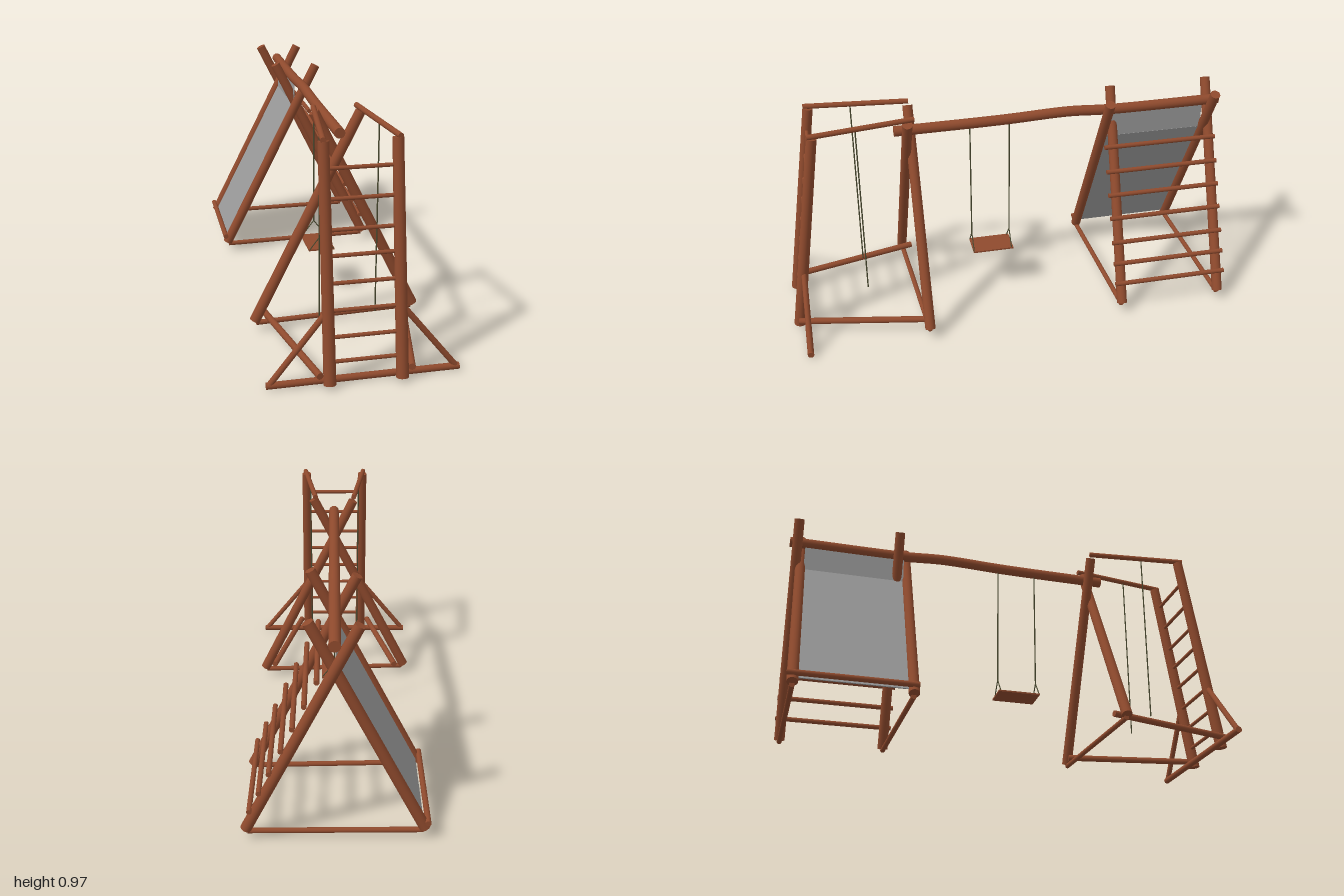
import * as THREE from 'three';

export function createModel() {
  const root = new THREE.Group();
  const mat = (name, color) => {
    const m = new THREE.MeshStandardMaterial({ color });
    m.name = name;
    return m;
  };
  const wood = mat('brown wood', 0x8f4a2d);
  const steel = mat('grey slide', 0x999999);
  steel.side = THREE.DoubleSide;
  const cord = mat('dark rope', 0x4a4a30);

  const add = (parent, name, geo, m) => {
    const mesh = new THREE.Mesh(geo, m);
    mesh.name = name;
    parent.add(mesh);
    return mesh;
  };
  const group = (name) => {
    const g = new THREE.Group();
    g.name = name;
    root.add(g);
    return g;
  };
  // round pole from point a to point b
  const pole = (parent, name, a, b, r, m = wood, rEnd = r, sides = 16) => {
    const A = new THREE.Vector3(...a), B = new THREE.Vector3(...b);
    const dir = B.clone().sub(A);
    const mesh = add(parent, name, new THREE.CylinderGeometry(rEnd, r, dir.length(), sides), m);
    mesh.position.copy(A).add(B).multiplyScalar(0.5);
    mesh.quaternion.setFromUnitVectors(new THREE.Vector3(0, 1, 0), dir.normalize());
    return mesh;
  };

  // crossed leg frames: z of left-foot leg, then bottom and top z of right-foot leg
  const frames = [
    ['frontFrame', 0.44, 0.43, 0.405, 0.405],
    ['middleFrame', -0.465, -0.46, -0.485, -0.515],
    ['backFrame', -0.945, -0.945, -0.95, -0.97],
  ];
  for (const [name, a0, a1, b0, b1] of frames) {
    const g = group(name);
    pole(g, 'crossedLeg', [-0.352, 0.045, a0], [0.1, 0.936, a1], 0.023, wood, 0.022);
    pole(g, 'crossedLeg', [0.352, 0.045, b0], [-0.088, 0.936, b1], 0.023, wood, 0.022);
    pole(g, 'groundTie', [-0.345, 0.035, a0], [0.345, 0.035, b0], 0.011);
  }

  // slightly bent ridge beam with end caps
  const beam = group('ridgeBeam');
  const path = new THREE.CatmullRomCurve3(
    [[0.48, 0.862], [0, 0.866], [-0.3, 0.875], [-0.48, 0.866], [-1, 0.866]]
      .map(([z, y]) => new THREE.Vector3(0.003, y, z)));
  add(beam, 'beam', new THREE.TubeGeometry(path, 40, 0.023, 16), wood);
  add(beam, 'beamEnd', new THREE.CircleGeometry(0.023, 16), wood).position.set(0.003, 0.862, 0.48);
  const rear = add(beam, 'beamEnd', new THREE.CircleGeometry(0.023, 16), wood);
  rear.position.set(0.003, 0.866, -1);
  rear.rotation.y = Math.PI;

  // slide sheet: sloped run with an upright lip below the beam
  const slide = group('slide');
  const profile = [[-0.345, 0.065], [-0.004, 0.73], [0.0, 0.848]];
  for (let i = 0; i < 2; i++) {
    const [x0, y0] = profile[i], [x1, y1] = profile[i + 1];
    const panel = add(slide, 'slidePanel',
      new THREE.BoxGeometry(0.004, Math.hypot(x1 - x0, y1 - y0), 0.45), steel);
    panel.position.set((x0 + x1) / 2, (y0 + y1) / 2, -0.705);
    panel.rotation.z = -Math.atan2(x1 - x0, y1 - y0);
  }
  pole(slide, 'slideFootBar', [-0.362, 0.08, -0.97], [-0.362, 0.08, -0.445], 0.012);

  // climbing rungs on the sloped legs
  const climb = group('climbingRungs');
  for (const y of [0.708, 0.607, 0.51, 0.414, 0.313, 0.225, 0.141]) {
    const x = 0.068 + (0.71 - y) * 0.468;
    pole(climb, 'climbingRung', [x, y, -0.978], [x, y, -0.455], 0.0105);
  }

  // ladder tower
  const tower = group('ladderTower');
  const ladderZ = (y) => 0.97 - (y / 0.94) * 0.14;
  for (const y of [0.838, 0.724, 0.608, 0.51, 0.405, 0.3, 0.197, 0.101])
    pole(tower, 'ladderRung', [-0.142, y, ladderZ(y)], [0.145, y, ladderZ(y)], 0.008);
  pole(tower, 'footBar', [-0.385, 0.014, 0.934], [0.385, 0.016, 0.934], 0.014);
  for (const s of [-1, 1]) {
    pole(tower, 'ladderUpright', [s * 0.144, 0.012, 0.97], [s * 0.142, 0.94, 0.83], 0.025, wood, 0.022);
    pole(tower, 'topRail', [s * 0.147, 0.948, 0.85], [s * 0.09, 0.955, 0.4], 0.0115);
    pole(tower, 'floorBrace', [s * 0.305, 0.063, 0.4], [s * 0.182, 0.052, 0.97], 0.014);
    pole(tower, 'sideBrace', [s * 0.372, 0.018, 0.934], [s * 0.15, 0.295, 0.925], 0.012);
    pole(tower, 'hangingRope', [s * 0.119, 0.95, 0.65], [s * 0.117, 0.145, 0.65], 0.003, cord, 0.003, 8);
  }

  // swing
  const swing = group('swing');
  for (const z of [0.147, -0.03]) {
    pole(swing, 'swingRope', [0.002, 0.86, z], [0.002, 0.295, z], 0.003, cord, 0.003, 8);
    for (const s of [-1, 1])
      pole(swing, 'seatRope', [0.002, 0.295, z], [0.002 + s * 0.056, 0.222, z], 0.0025, cord, 0.0025, 8);
  }
  add(swing, 'swingSeat', new THREE.BoxGeometry(0.118, 0.007, 0.188), wood).position.set(0.002, 0.221, 0.055);

  return root;
}
